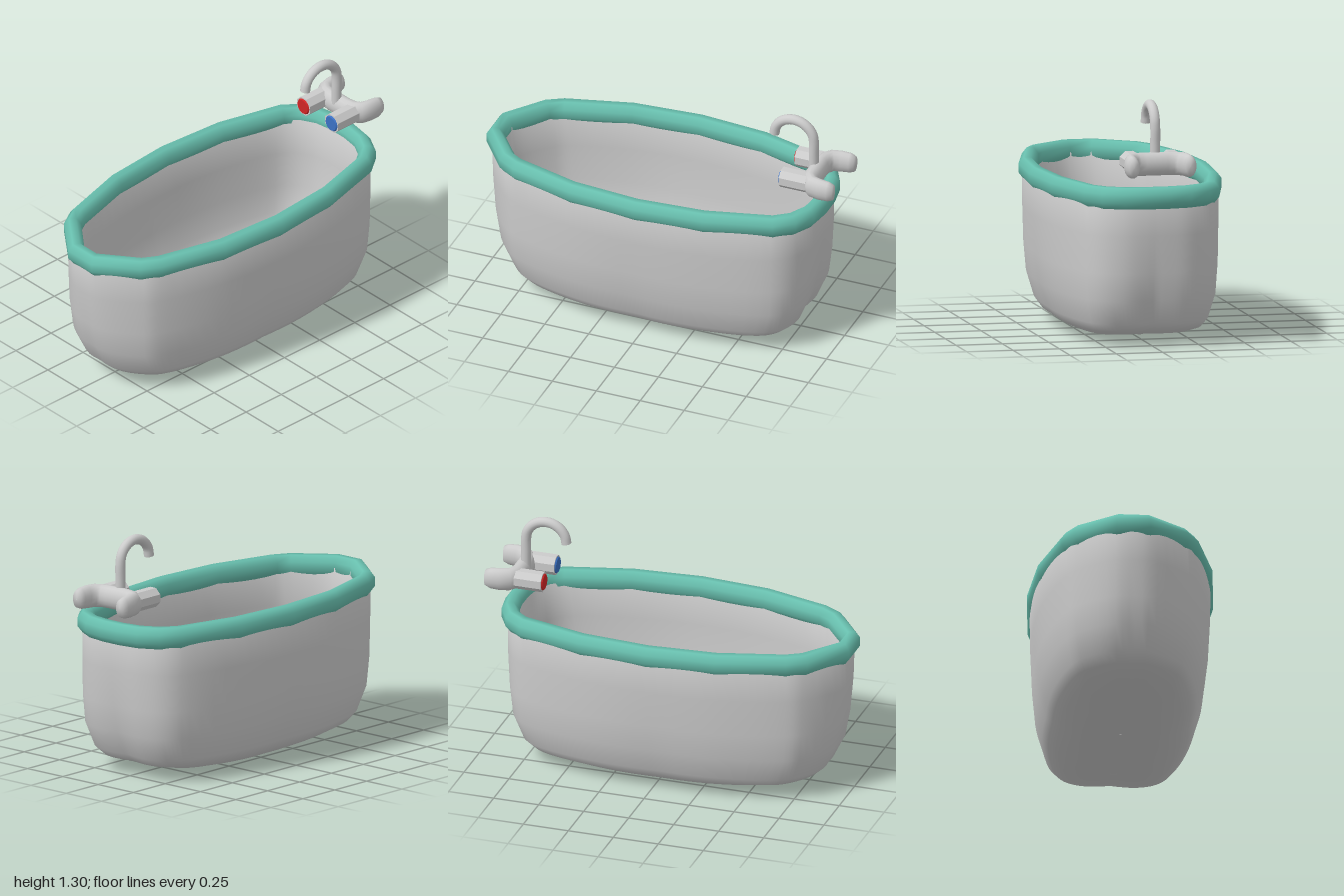
import * as THREE from 'three';

const UP = new THREE.Vector3(0, 1, 0);
const material = (color = 0xcccccc) => new THREE.MeshStandardMaterial({ color });

function addMesh(parent, name, geometry, mat) {
  const mesh = new THREE.Mesh(geometry, mat);
  mesh.name = name;
  parent.add(mesh);
  return mesh;
}

// Smooth skin over closed rings of points; optionally joins last ring to first.
function loft(rings, closed = false) {
  const n = rings[0].length, m = rings.length, index = [];
  for (let i = 0; i < (closed ? m : m - 1); i++) {
    for (let j = 0; j < n; j++) {
      const a = i * n + j, b = ((i + 1) % m) * n + j;
      const d = i * n + (j + 1) % n, c = ((i + 1) % m) * n + (j + 1) % n;
      index.push(a, b, c, a, c, d);
    }
  }
  const g = new THREE.BufferGeometry().setFromPoints(rings.flat());
  g.setIndex(index);
  g.computeVertexNormals();
  return g;
}

// Sweeps an oval section along a level path; inset moves it to the path's inner side.
function sweep(path, closed, sides, size, inset = 0) {
  const m = path.length;
  const at = i => path[closed ? (i + m) % m : Math.min(Math.max(i, 0), m - 1)];
  return loft(path.map((p, i) => {
    const side = at(i + 1).clone().sub(at(i - 1)).cross(UP).normalize();
    const [w, h] = size(i);
    return Array.from({ length: sides }, (_, j) => {
      const t = (j + 0.5) / sides * Math.PI * 2;
      return p.clone().addScaledVector(side, Math.cos(t) * w - inset).addScaledVector(UP, Math.sin(t) * h);
    });
  }), closed);
}

// Oval plan of the tub, blunter at the tap end
const half = [[-1, 0.09], [-0.84, 0.3], [-0.74, 0.36], [-0.38, 0.46], [0, 0.49],
  [0.38, 0.46], [0.74, 0.365], [0.84, 0.29], [0.9, 0.18], [0.92, 0.06]];
const outline = [...half, ...half.map(([x, z]) => [x, -z]).reverse()]
  .map(([x, z]) => new THREE.Vector3(x, 0.803, z));

function tubShell() {
  const plan = new THREE.CatmullRomCurve3(outline, true).getPoints(96).slice(0, -1);
  // y, left end, right end, half width, squareness of corners
  const levels = [
    [0.085, -0.05, -0.03, 0.01, 0], [0.09, -0.4, 0.36, 0.17, 0.1], [0.105, -0.62, 0.56, 0.26, 0.1],
    [0.15, -0.76, 0.69, 0.325, 0.1], [0.25, -0.83, 0.75, 0.37, 0.08], [0.4, -0.875, 0.79, 0.395, 0.04],
    [0.6, -0.9, 0.815, 0.408, 0], [0.8, -0.91, 0.825, 0.412, 0],
    [0.8, -0.972, 0.888, 0.471, 0], [0.6, -0.962, 0.88, 0.465, 0.02], [0.4, -0.938, 0.856, 0.452, 0.06],
    [0.25, -0.905, 0.825, 0.432, 0.1], [0.12, -0.84, 0.768, 0.392, 0.12], [0.075, -0.79, 0.72, 0.36, 0.12],
    [0.045, -0.67, 0.6, 0.315, 0.12], [0.02, -0.48, 0.43, 0.26, 0.12], [0, -0.25, 0.2, 0.19, 0.1],
    [0.02, -0.04, -0.03, 0.005, 0]];
  return loft(levels.map(([y, x0, x1, b, k]) => plan.map(p => {
    const u = (p.x + 0.04) / 0.96, v = p.z / 0.49, s = 1 + k * Math.abs(u * v);
    return new THREE.Vector3((x0 + x1) / 2 + u * s * (x1 - x0) / 2, y, v * s * b);
  })));
}

function createTap() {
  const tap = new THREE.Group();
  tap.name = 'tap';
  const grey = material();

  // U-shaped valve body with two prongs pointing away from the tub
  const arm = [[1, 0.152], [0.998, 0.152], [0.97, 0.153], [0.92, 0.15], [0.875, 0.138], [0.85, 0.105], [0.842, 0.06]];
  const pts = [...arm.map(([x, z]) => [x, -z]), ...[...arm].reverse()]
    .map(([x, z]) => new THREE.Vector3(x, 0.98, z));
  const sizes = [[0.001, 0.001], [0.028, 0.046], [0.037, 0.058], [0.039, 0.062], [0.044, 0.062], [0.046, 0.062], [0.046, 0.062]];
  addMesh(tap, 'valveBody', sweep(pts, false, 16, i => sizes[Math.min(i, pts.length - 1 - i)]), grey);

  // Gooseneck spout
  const spoutPts = [[0.825, 0.98], [0.825, 1.08]];
  for (let i = 0; i <= 8; i++) {
    const t = i / 8 * Math.PI;
    spoutPts.push([0.713 + 0.112 * Math.cos(t), 1.168 + 0.108 * Math.sin(t)]);
  }
  const curve = new THREE.CatmullRomCurve3(spoutPts.map(([x, y]) => new THREE.Vector3(x, y, 0)));
  addMesh(tap, 'spout', new THREE.TubeGeometry(curve, 40, 0.027, 14), grey);
  const outlet = addMesh(tap, 'spoutOutlet', new THREE.CircleGeometry(0.027, 14), grey);
  outlet.rotation.x = Math.PI / 2;
  outlet.position.set(0.601, 1.168, 0);

  // Faceted knobs with hot and cold caps
  for (const [side, z, color] of [['cold', 0.11, 0x3a70c4], ['hot', -0.11, 0xd02525]]) {
    const knob = new THREE.Group();
    knob.name = side + 'Knob';
    knob.position.set(0.69, 0.98, z);
    knob.rotation.z = Math.PI / 2;
    tap.add(knob);
    const faceted = material();
    faceted.flatShading = true;
    const grip = addMesh(knob, side + 'Grip', new THREE.CylinderGeometry(0.055, 0.055, 0.15, 8), faceted);
    grip.position.y = -0.075;
    grip.rotation.y = Math.PI / 8;
    const cap = addMesh(knob, side + 'Cap', new THREE.CylinderGeometry(0.04, 0.046, 0.008, 16), material(color));
    cap.position.y = 0.003;
  }
  return tap;
}

export function createModel() {
  const model = new THREE.Group();
  model.name = 'bathtub';
  addMesh(model, 'tubShell', tubShell(), material());
  addMesh(model, 'rim', sweep(outline, true, 8, () => [0.049, 0.062], 0.045), material(0x68bfae));

  // Domed drain plug on the floor
  const plug = addMesh(model, 'drainPlug', new THREE.SphereGeometry(0.08, 24, 16), material());
  plug.position.set(0.45, 0.1, 0);

  model.add(createTap());
  return model;
}
